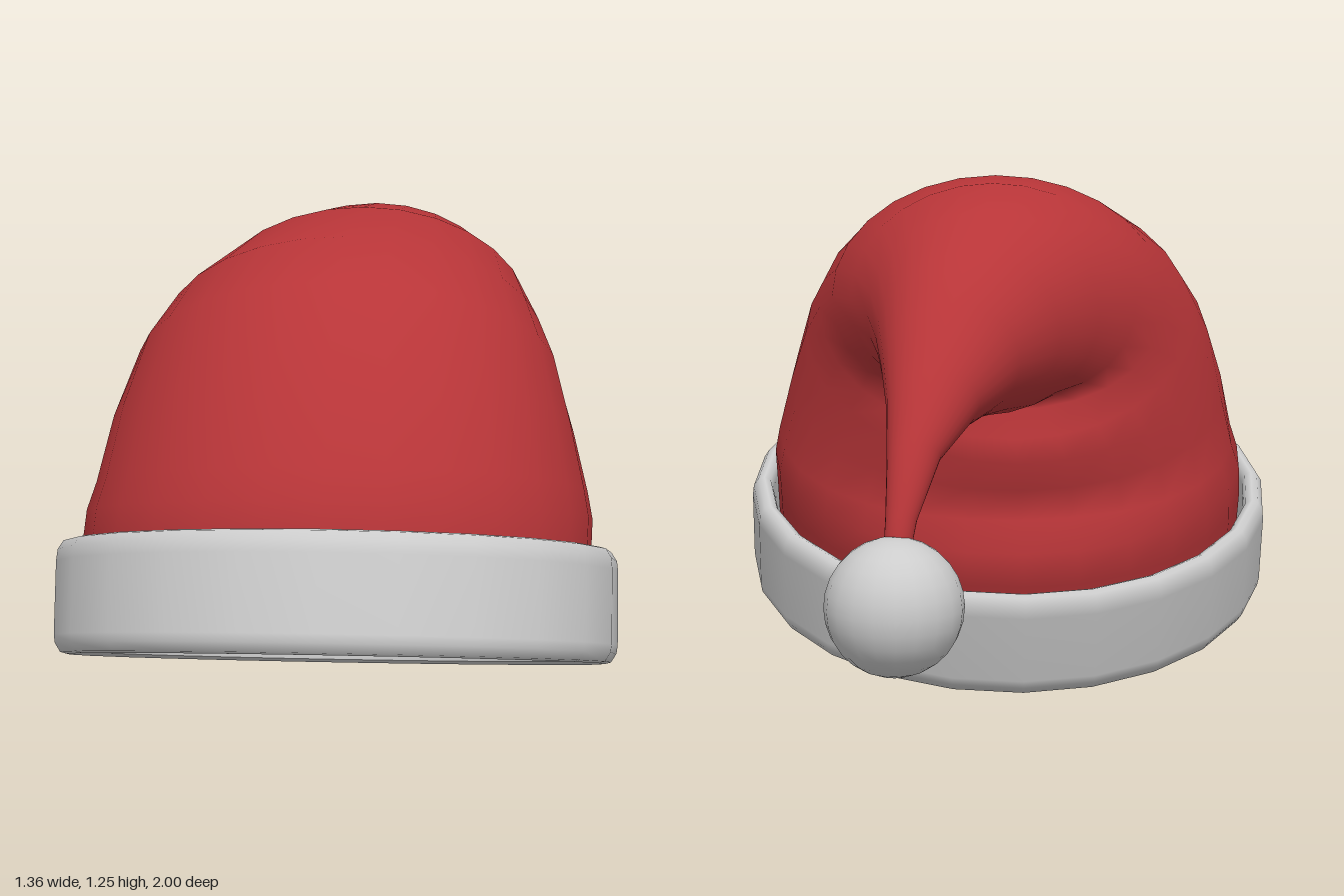
import * as THREE from 'three';

const red = new THREE.MeshStandardMaterial({ color: 0xb83538, side: THREE.DoubleSide });
red.name = 'red felt';
const white = new THREE.MeshStandardMaterial({ color: 0xcccccc });
white.name = 'white fleece';

// Cap sections: front/top point (z, y), back/under point (z, y), centre x, half width, dent at the back
const sections = [
  [0.91, 0.48, -0.25, 0.122, 0.00, 0.608, 0],
  [0.885, 0.635, -0.29, 0.27, 0.00, 0.614, 0],
  [0.865, 0.70, -0.335, 0.36, 0.005, 0.612, 0],
  [0.83, 0.77, -0.33, 0.415, 0.01, 0.595, 0.06],
  [0.71, 0.96, -0.32, 0.50, 0.01, 0.560, 0.025],
  [0.53, 1.138, -0.325, 0.58, 0.015, 0.515, 0],
  [0.35, 1.22, -0.325, 0.64, 0.025, 0.468, 0],
  [0.02, 1.258, -0.305, 0.68, 0.05, 0.410, 0.03],
  [-0.20, 1.247, -0.315, 0.70, 0.07, 0.345, 0.03],
  [-0.37, 1.188, -0.36, 0.705, 0.10, 0.275, 0],
  [-0.50, 1.10, -0.43, 0.71, 0.14, 0.216, 0],
  [-0.60, 0.99, -0.51, 0.71, 0.185, 0.160, 0],
  [-0.70, 0.85, -0.61, 0.69, 0.23, 0.105, 0],
  [-0.78, 0.70, -0.70, 0.63, 0.275, 0.060, 0],
  [-0.835, 0.55, -0.775, 0.52, 0.305, 0.035, 0],
  [-0.845, 0.47, -0.79, 0.46, 0.315, 0.030, 0],
];

// Lofts closed oval rings through the sections, bending over into the tail
function capGeometry(sides) {
  const pos = [], index = [];
  sections.forEach(([tz, ty, uz, uy, cx, w, dent], i) => {
    const hz = (tz - uz) / 2, hy = (ty - uy) / 2, len = Math.hypot(hz, hy);
    for (let j = 0; j < sides; j++) {
      const a = (j / sides) * Math.PI * 2;
      const c = Math.cos(a) + (dent / len) * Math.max(0, -Math.cos(a)) ** 3;
      pos.push(cx + w * Math.sin(a), (ty + uy) / 2 + hy * c, (tz + uz) / 2 + hz * c);
      if (i < sections.length - 1) {
        const p = i * sides + j, q = i * sides + ((j + 1) % sides);
        index.push(p, q, q + sides, p, q + sides, p + sides);
      }
    }
  });
  const g = new THREE.BufferGeometry();
  g.setAttribute('position', new THREE.Float32BufferAttribute(pos, 3));
  g.setIndex(index);
  g.computeVertexNormals();
  return g;
}

export function createModel() {
  const group = new THREE.Group();
  group.name = 'floppyHat';
  const add = (name, geometry, material) => {
    const mesh = new THREE.Mesh(geometry, material);
    mesh.name = name;
    group.add(mesh);
    return mesh;
  };

  add('cap', capGeometry(28), red);

  // Tilted fleece band with softened rims
  const profile = [
    [0.630, 0.008], [0.648, 0], [0.664, 0.004], [0.677, 0.025], [0.68, 0.045],
    [0.68, 0.22], [0.677, 0.247], [0.664, 0.268], [0.648, 0.272], [0.632, 0.264],
    [0.626, 0.24], [0.624, 0.03], [0.630, 0.008],
  ].map(([r, y]) => new THREE.Vector2(r, y));
  const band = add('brimBand', new THREE.LatheGeometry(profile, 24), white);
  band.position.set(0, 0.196, 0.36);
  band.rotation.x = -0.3;

  // Pompom on the tail tip
  add('pompom', new THREE.SphereGeometry(0.155, 20, 14), white).position.set(0.322, 0.35, -0.845);

  return group;
}
